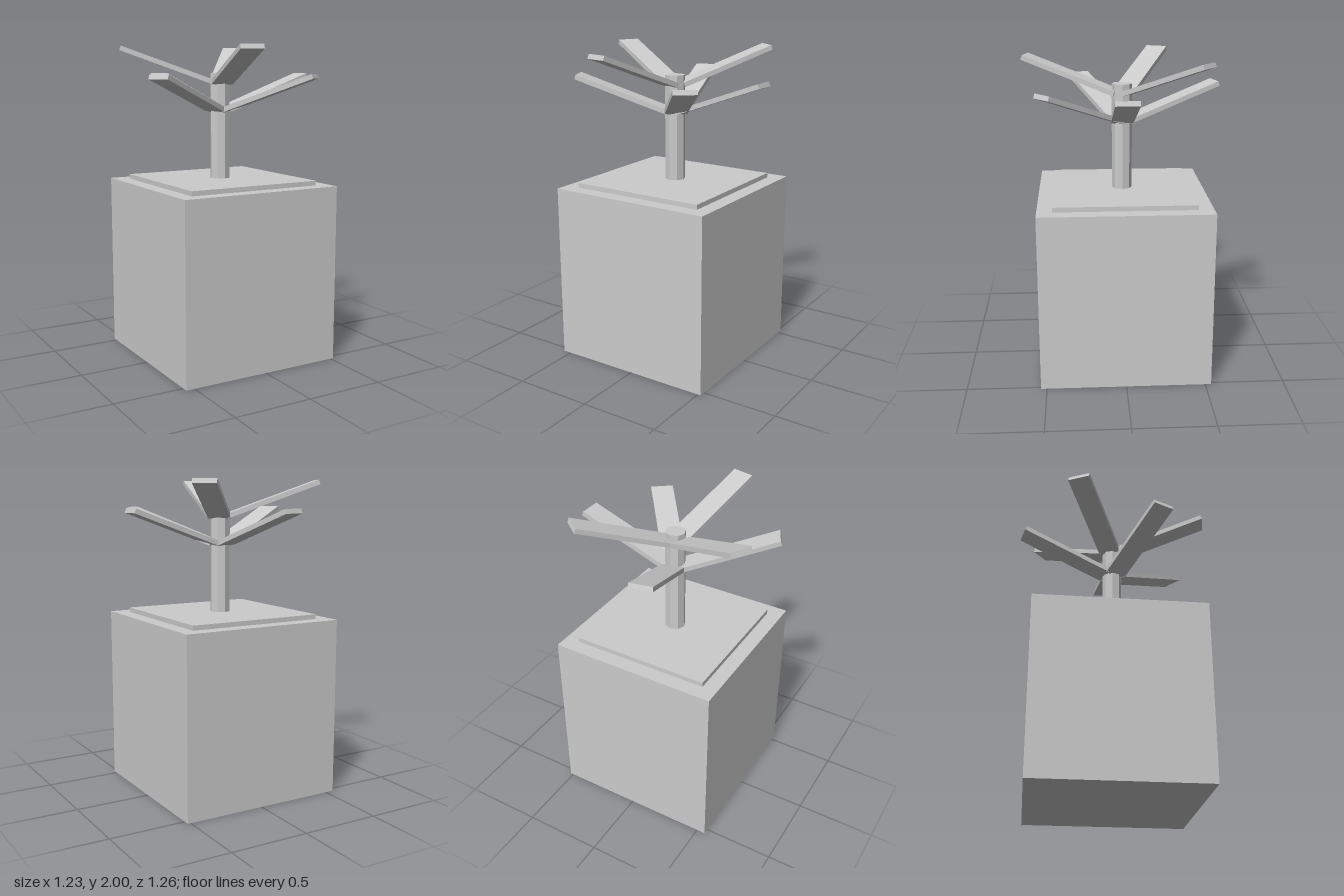
import * as THREE from 'three';

const material = new THREE.MeshStandardMaterial({ color: 0xcccccc, flatShading: true });

function addPart(parent, name, geometry, x, y, z) {
  const mesh = new THREE.Mesh(geometry, material);
  mesh.name = name;
  mesh.position.set(x, y, z);
  parent.add(mesh);
  return mesh;
}

export function createModel() {
  const model = new THREE.Group();
  model.name = 'pottedPlant';

  // Everything shares one vertical axis, slightly off the bounding centre
  const plant = new THREE.Group();
  plant.name = 'plant';
  plant.position.x = -0.018;
  model.add(plant);

  // Square pot with a thin soil slab on top
  addPart(plant, 'pot', new THREE.BoxGeometry(1.075, 1.13, 1.075), 0, 0.565, 0);
  addPart(plant, 'soil', new THREE.BoxGeometry(0.885, 0.03, 0.885), 0, 1.145, 0);

  // Octagonal trunk
  const trunkBottom = 1.15, trunkTop = 1.83;
  addPart(plant, 'trunk',
    new THREE.CylinderGeometry(0.064, 0.064, trunkTop - trunkBottom, 8),
    0, (trunkBottom + trunkTop) / 2, 0);

  // Seven leaves fanned around the trunk, alternating between two heights
  const leafGeometry = new THREE.BoxGeometry(0.624, 0.03, 0.143);
  const tilt = THREE.MathUtils.degToRad(20);
  const leafCount = 7;
  for (let i = 0; i < leafCount; i++) {
    const upper = i > 0 && i % 2 === 0;
    const pivot = new THREE.Group();
    pivot.name = (upper ? 'upperLeaf' : 'lowerLeaf') + i;
    pivot.rotation.y = -i * 2 * Math.PI / leafCount;
    plant.add(pivot);
    const leaf = addPart(pivot, 'leafBlade', leafGeometry, 0.333, upper ? 1.879 : 1.706, 0);
    leaf.rotation.z = tilt;
  }
  return model;
}
